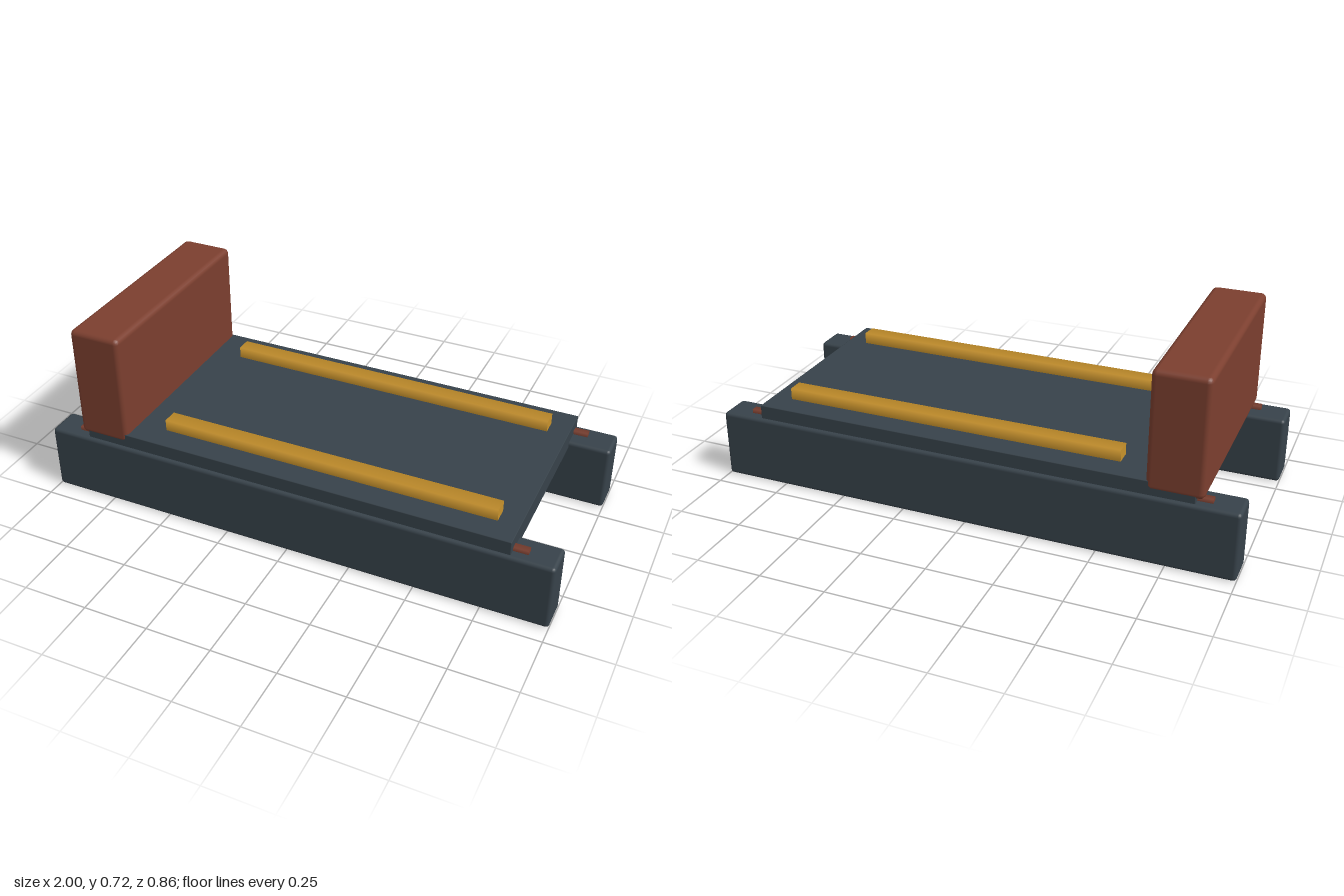
import * as THREE from 'three';
import { RoundedBoxGeometry } from 'three/addons/geometries/RoundedBoxGeometry.js';

const material = (name, color) => {
  const m = new THREE.MeshStandardMaterial({ color });
  m.name = name;
  return m;
};

export function createModel() {
  const group = new THREE.Group();
  const slate = material('slate', 0x37424a);
  const rust = material('rust', 0x7c3f2f);
  const ochre = material('ochre', 0xc8922b);
  const steel = material('steel', 0x8d949d);

  const add = (name, geometry, mat, x, y, z) => {
    const mesh = new THREE.Mesh(geometry, mat);
    mesh.name = name;
    mesh.position.set(x, y, z);
    group.add(mesh);
    return mesh;
  };
  // Softly shaded square bar lying along x or z
  const bar = (half, length, axis) => {
    const g = new THREE.CylinderGeometry(half * Math.SQRT2, half * Math.SQRT2, length, 4);
    g.rotateY(Math.PI / 4);
    return axis === 'x' ? g.rotateZ(Math.PI / 2) : g.rotateX(Math.PI / 2);
  };

  // Deck plate
  add('deck', new RoundedBoxGeometry(1.68, 0.08, 0.836, 1, 0.003), slate, 0, 0.275, 0);

  // Upright end block, slightly sunk into the deck
  add('endBlock', new RoundedBoxGeometry(0.205, 0.444, 0.84, 2, 0.02), rust, -0.767, 0.5, 0);

  // Mirrored runners, slide rods and deck rails
  for (const [side, s] of [['left', 1], ['right', -1]]) {
    add(side + 'Runner', new RoundedBoxGeometry(2, 0.262, 0.127, 2, 0.014), slate, 0, 0.131, s * 0.3685);
    add(side + 'SlideRod', bar(0.0125, 1.79, 'x'), rust, 0, 0.265, s * 0.38);
    add(side + 'DeckRail', bar(0.0295, 1.31, 'x'), ochre, 0.105, 0.33, s * 0.295);
  }

  // Cross members joining the runners
  for (const x of [-0.55, 0, 0.55]) {
    add('crossMember', bar(0.045, 0.68, 'z'), steel, x, 0.102, 0);
  }
  return group;
}
